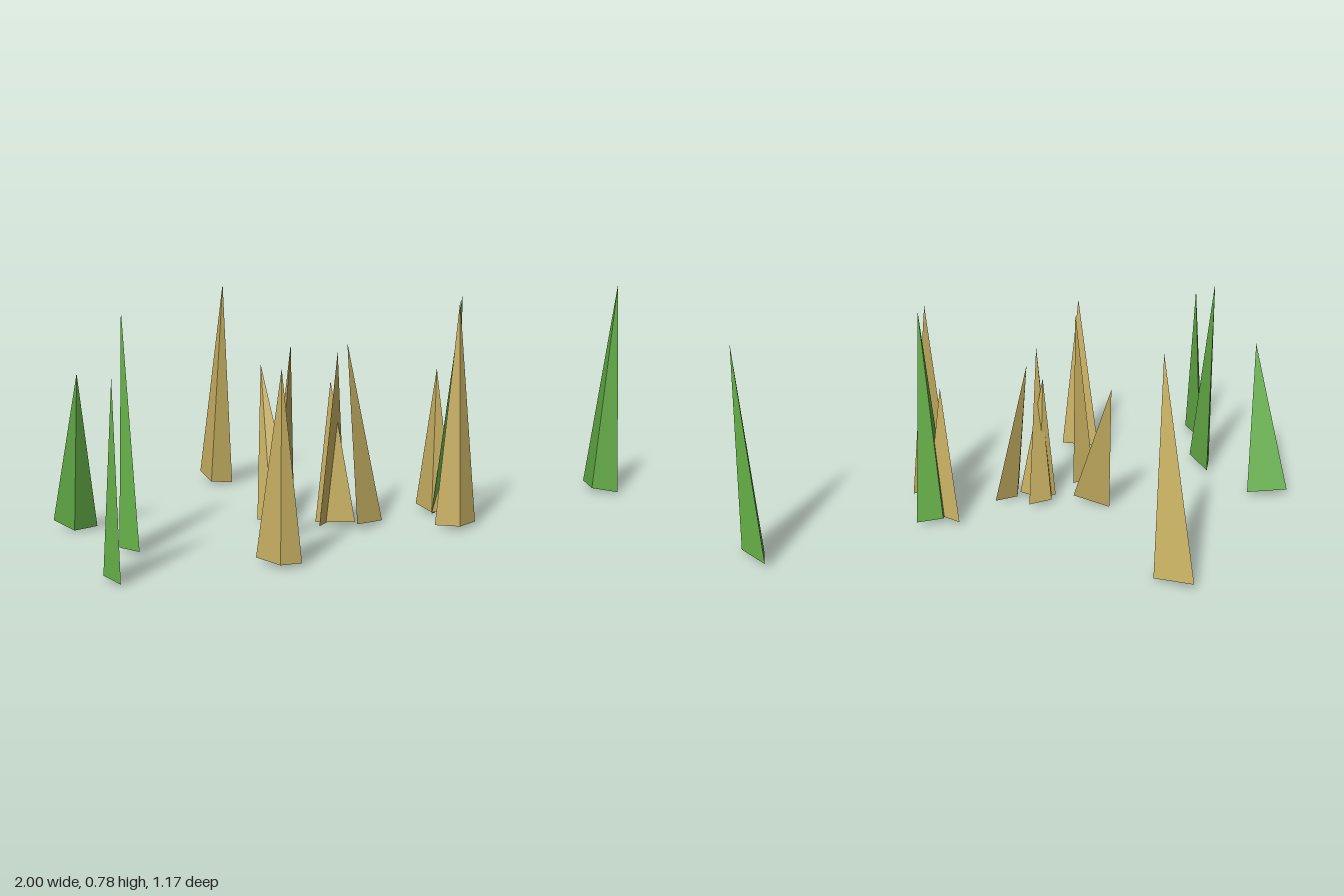
import * as THREE from 'three';

// One blade: a slim three-sided spike. The base is square to the lean of the blade.
function bladeGeometry(base, tip) {
  const cx = (base[0][0] + base[1][0] + base[2][0]) / 3;
  const cz = (base[0][1] + base[1][1] + base[2][1]) / 3;
  const cy = 0.02;
  const slopeX = (tip[0] - cx) / (tip[1] - cy);
  const slopeZ = (tip[2] - cz) / (tip[1] - cy);
  let [a, b, c] = base.map(([x, z]) =>
    new THREE.Vector3(x, Math.max(0, cy - slopeX * (x - cx) - slopeZ * (z - cz)), z));
  const t = new THREE.Vector3(...tip);

  // Keep the corners counter-clockwise seen from above so every face points outward
  const turn = (b.z - a.z) * (c.x - a.x) - (b.x - a.x) * (c.z - a.z);
  if (turn < 0) [b, c] = [c, b];

  const geometry = new THREE.BufferGeometry().setFromPoints([a, b, t, b, c, t, c, a, t, a, c, b]);
  geometry.computeVertexNormals();
  return geometry;
}

export function createModel() {
  const green = new THREE.MeshStandardMaterial({ name: 'freshGreen', color: 0x66b048, flatShading: true });
  const straw = new THREE.MeshStandardMaterial({ name: 'dryStraw', color: 0xcbb364, flatShading: true });

  // Base corners [x, z] and tip [x, y, z]
  const greenBlades = [
    { base: [[-1.0, -0.13], [-0.867, -0.067], [-0.945, -0.055]], tip: [-0.94, 0.56, 0.075] },
    { base: [[-0.953, 0.46], [-0.905, 0.388], [-0.918, 0.535]], tip: [-0.922, 0.62, 0.523] },
    { base: [[-0.852, 0.21], [-0.804, 0.137], [-0.804, 0.28]], tip: [-0.82, 0.77, 0.2] },
    { base: [[0.371, 0.157], [0.235, 0.215], [0.275, 0.147]], tip: [0.296, 0.78, 0.3] },
    { base: [[0.94, 0.07], [0.926, 0.152], [0.995, 0.216]], tip: [0.955, 0.785, 0.224] },
  ];
  const strawBlades = [
    { base: [[-0.489, 0.478], [-0.371, 0.565], [-0.438, 0.56]], tip: [-0.437, 0.623, 0.584] },
    { base: [[-0.366, 0.243], [-0.27, 0.216], [-0.37, 0.325]], tip: [-0.333, 0.66, 0.372] },
    { base: [[-0.366, -0.585], [-0.275, -0.467], [-0.35, -0.49]], tip: [-0.333, 0.78, -0.35] },
    { base: [[-0.232, 0.125], [-0.312, 0.104], [-0.339, 0.035]], tip: [-0.293, 0.53, -0.048] },
    { base: [[-0.056, 0.131], [-0.179, 0.21], [-0.147, 0.136]], tip: [-0.123, 0.605, 0.237] },
    { base: [[-0.179, 0.173], [-0.06, 0.235], [-0.115, 0.17]], tip: [-0.13, 0.5, 0.19] },
    { base: [[0.045, 0.22], [-0.08, 0.302], [-0.043, 0.222]], tip: [-0.028, 0.61, 0.087] },
    { base: [[0.175, 0.363], [0.32, 0.373], [0.245, 0.41]], tip: [0.25, 0.768, 0.373] },
    { base: [[0.227, 0.104], [0.31, 0.23], [0.235, 0.215]], tip: [0.255, 0.52, 0.2] },
  ];

  const model = new THREE.Group();
  model.name = 'grassTuft';
  for (const [name, blades, material] of [
    ['greenBlade', greenBlades, green],
    ['strawBlade', strawBlades, straw],
  ]) {
    blades.forEach(({ base, tip }, i) => {
      const mesh = new THREE.Mesh(bladeGeometry(base, tip), material);
      mesh.name = `${name}${i + 1}`;
      model.add(mesh);
    });
  }
  return model;
}
